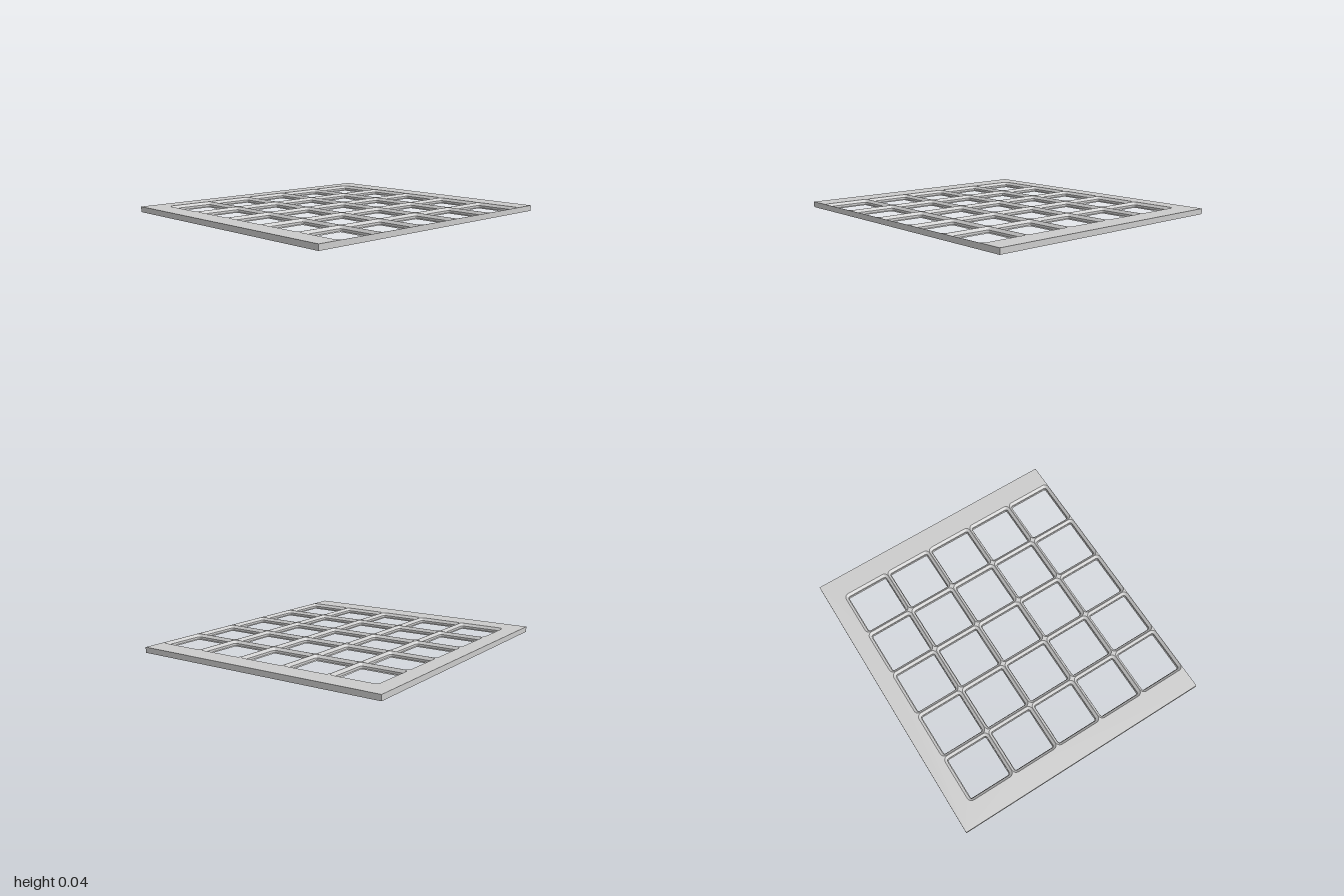
import * as THREE from 'three';
import { mergeGeometries, toCreasedNormals } from 'three/addons/utils/BufferGeometryUtils.js';

const HALF_W = 0.911, HALF_D = 1, HEIGHT = 0.038;
const PITCH = 0.341, CELLS = 5, GRID_X = 0.0575; // the grid sits flush with the +x edge
const OPEN_HALF = 0.1692, OPEN_RADIUS = 0.0325, ARC = 8;

// Pocket wall from bottom to top: [inset from the top opening, height]
const PROFILE = [[0.023, 0], [0.0175, 0.0057], [0.0175, 0.0203], [0, HEIGHT]];

// Counter-clockwise rounded square
function roundedSquare(cx, cy, inset) {
  const r = OPEN_RADIUS - inset, c = OPEN_HALF - OPEN_RADIUS;
  const points = [];
  for (let q = 0; q < 4; q++) {
    const a0 = q * Math.PI / 2, mid = a0 + Math.PI / 4;
    for (let i = 0; i <= ARC; i++) {
      const a = a0 + i / ARC * Math.PI / 2;
      points.push(new THREE.Vector2(
        cx + Math.sign(Math.cos(mid)) * c + r * Math.cos(a),
        cy + Math.sign(Math.sin(mid)) * c + r * Math.sin(a)));
    }
  }
  return points;
}

// Loft through closed rings given from low to high
function loft(rings, heights, inward) {
  const n = rings[0].length, position = [], index = [];
  rings.forEach((ring, k) => ring.forEach(p => position.push(p.x, p.y, heights[k])));
  for (let k = 0; k < rings.length - 1; k++) {
    for (let i = 0; i < n; i++) {
      const j = (i + 1) % n;
      const a = k * n + i, b = k * n + j, c = b + n, d = a + n;
      if (inward) index.push(a, c, b, a, d, c);
      else index.push(a, b, c, a, c, d);
    }
  }
  const geometry = new THREE.BufferGeometry();
  geometry.setAttribute('position', new THREE.Float32BufferAttribute(position, 3));
  geometry.setIndex(index);
  return geometry;
}

// Flat plate face with a hole per cell
function face(outline, holes, height, down) {
  const shape = new THREE.Shape(outline);
  shape.holes = holes.map(h => new THREE.Path(h));
  const geometry = new THREE.ShapeGeometry(shape);
  geometry.translate(0, 0, height);
  if (down) geometry.index.array.reverse();
  geometry.deleteAttribute('uv');
  geometry.deleteAttribute('normal');
  return geometry;
}

export function createModel() {
  const group = new THREE.Group();
  group.name = 'gridPlate';
  const material = new THREE.MeshStandardMaterial({ color: 0xcccccc });
  const add = (name, parts) => {
    const geometry = toCreasedNormals(mergeGeometries(parts), 0.5);
    geometry.rotateX(-Math.PI / 2);
    const mesh = new THREE.Mesh(geometry, material);
    mesh.name = name;
    group.add(mesh);
  };

  // One set of wall rings per cell
  const cells = [];
  const mid = (CELLS - 1) / 2;
  for (let row = 0; row < CELLS; row++) {
    for (let col = 0; col < CELLS; col++) {
      cells.push(PROFILE.map(([inset]) =>
        roundedSquare(GRID_X + (col - mid) * PITCH, (row - mid) * PITCH, inset)));
    }
  }

  // Frame: top, underside and outer edge
  const outline = [[-1, -1], [1, -1], [1, 1], [-1, 1]]
    .map(([x, y]) => new THREE.Vector2(x * HALF_W, y * HALF_D));
  add('frame', [
    face(outline, cells.map(c => c[PROFILE.length - 1]), HEIGHT, false),
    face(outline, cells.map(c => c[0]), 0, true),
    loft([outline, outline], [0, HEIGHT], false),
  ]);

  // Stepped, chamfered pocket walls
  const heights = PROFILE.map(p => p[1]);
  add('pocketWalls', cells.map(rings => loft(rings, heights, true)));
  return group;
}
